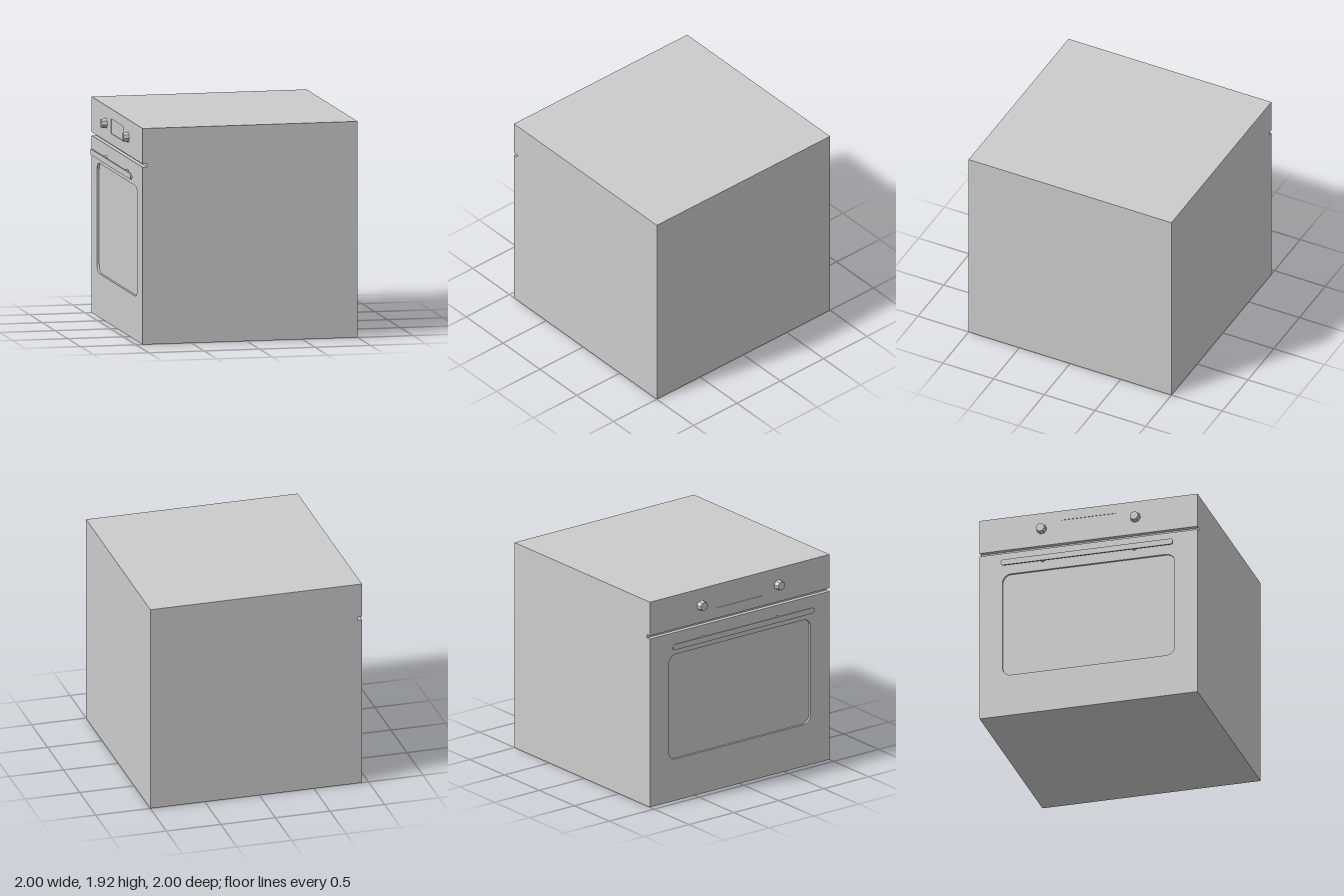
import * as THREE from 'three';

const material = new THREE.MeshStandardMaterial({ color: 0xcccccc });
const flatMaterial = new THREE.MeshStandardMaterial({ color: 0xcccccc, flatShading: true });

const BACKING = -0.9; // plane behind the door and control panel
const FACE = -0.94; // outer plane of the door and control panel

// Rounded rectangle drawn with z across and y up
function roundedRect(path, z0, z1, y0, y1, r) {
  path.moveTo(z0 + r, y0);
  path.lineTo(z1 - r, y0);
  if (r) path.absarc(z1 - r, y0 + r, r, -Math.PI / 2, 0);
  path.lineTo(z1, y1 - r);
  if (r) path.absarc(z1 - r, y1 - r, r, 0, Math.PI / 2);
  path.lineTo(z0 + r, y1);
  if (r) path.absarc(z0 + r, y1 - r, r, Math.PI / 2, Math.PI);
  path.lineTo(z0, y0 + r);
  if (r) path.absarc(z0 + r, y0 + r, r, Math.PI, Math.PI * 1.5);
  return path;
}

// Plate extruded towards -x, starting at the plane x = from
function plate(shape, from, depth) {
  const geometry = new THREE.ExtrudeGeometry(shape, { depth, bevelEnabled: false, curveSegments: 8 });
  return geometry.rotateY(-Math.PI / 2).translate(from, 0, 0);
}

function add(parent, name, geometry, mat = material) {
  const mesh = new THREE.Mesh(geometry, mat);
  mesh.name = name;
  parent.add(mesh);
  return mesh;
}

// Front plate with a recessed area whose floor sits `recess` below the face
function recessedPanel(parent, name, outer, inner, recess, floorName) {
  const shape = roundedRect(new THREE.Shape(), ...outer);
  shape.holes.push(roundedRect(new THREE.Path(), ...inner));
  add(parent, name, plate(shape, BACKING, BACKING - FACE));
  const floor = roundedRect(new THREE.Shape(), ...inner);
  add(parent, floorName, plate(floor, BACKING, BACKING - FACE - recess));
}

export function createModel() {
  const model = new THREE.Group();
  model.name = 'oven';

  // Cabinet behind the front plates
  add(model, 'cabinet', new THREE.BoxGeometry(1 - BACKING, 1.92, 2).translate((1 + BACKING) / 2, 0.96, 0));

  // Door with sunken window, and control panel above the gap
  recessedPanel(model, 'door', [-1, 1, 0, 1.575, 0], [-0.79, 0.79, 0.39, 1.37, 0.08], 0.02, 'window');
  recessedPanel(model, 'controlPanel', [-1, 1, 1.605, 1.92, 0], [-0.25, 0.25, 1.7, 1.83, 0], 0.005, 'display');

  // Handle: thin round-ended bar on two pins
  const handle = new THREE.Group();
  handle.name = 'handle';
  model.add(handle);
  const bar = roundedRect(new THREE.Shape(), -0.79, 0.79, 1.437, 1.489, 0.025);
  add(handle, 'handleBar', plate(bar, -0.985, 0.015));

  for (const side of [-1, 1]) {
    const pin = new THREE.CylinderGeometry(0.017, 0.017, 0.05, 12).rotateZ(Math.PI / 2);
    add(handle, 'handlePin', pin).position.set(-0.963, 1.463, side * 0.42);

    // Tapered faceted knob
    const knob = new THREE.CylinderGeometry(0.039, 0.048, 0.05, 8).rotateZ(Math.PI / 2);
    const mesh = add(model, 'knob', knob, flatMaterial);
    mesh.position.set(-0.963, 1.765, side * 0.43);
    mesh.rotation.x = 0.2;
  }

  return model;
}
